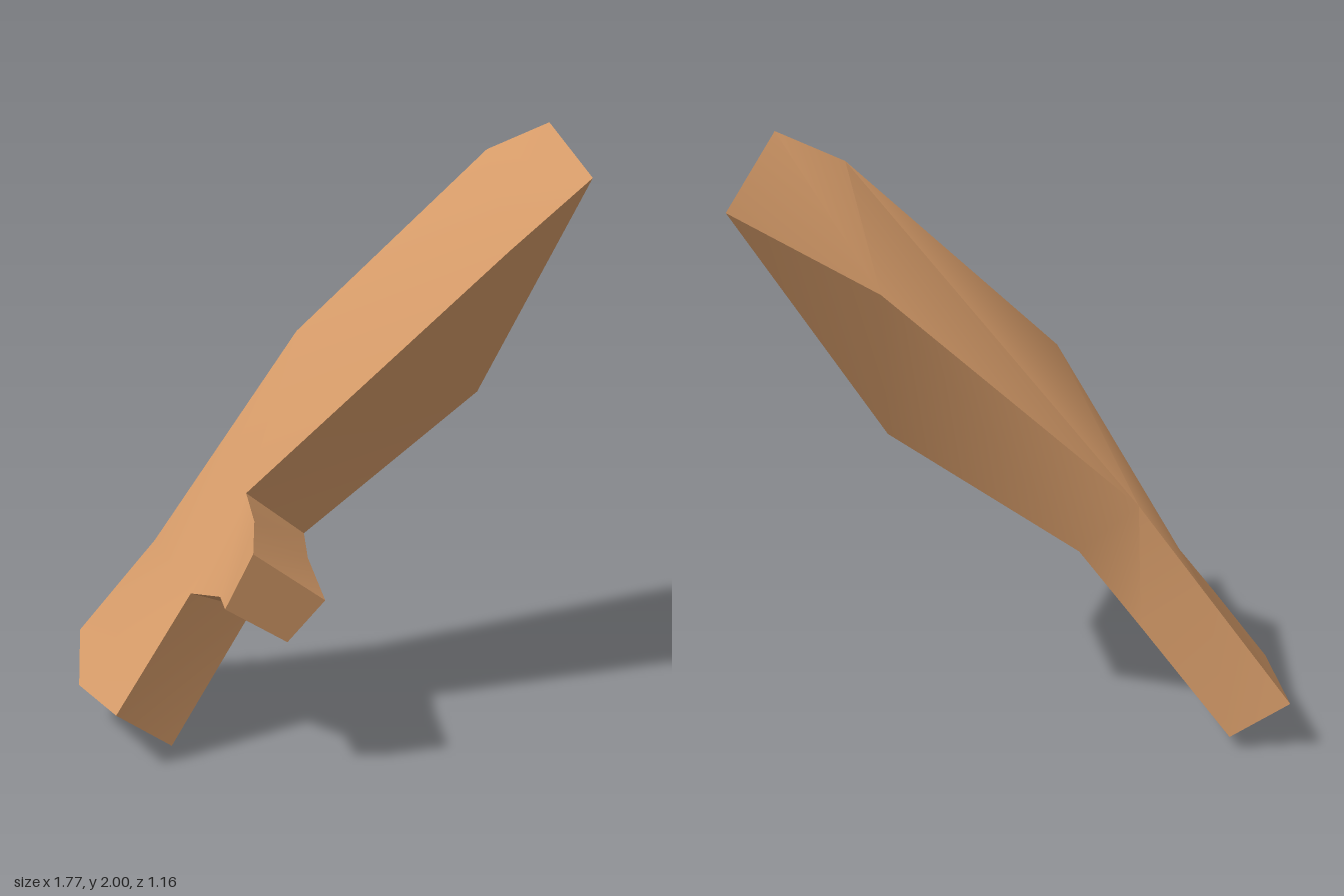
import * as THREE from 'three';
import { toCreasedNormals } from 'three/addons/utils/BufferGeometryUtils.js';

// Cross-sections from fingertips to cuff.
// Order: top centre, front side, front bottom, bottom centre, back bottom, back side.
const fingertips = [[-0.89, 0.14, -0.11], [-0.83, 0.19, 0.33], [-0.65, 0.05, 0.28],
  [-0.68, 0, -0.1], [-0.65, 0.05, -0.49], [-0.83, 0.19, -0.55]];
const palm = [[-0.57, 0.54, -0.1], [-0.57, 0.53, 0.23], [-0.34, 0.445, 0.14],
  [-0.35, 0.43, -0.1], [-0.36, 0.43, -0.4], [-0.57, 0.54, -0.42]];
const wrist = [[-0.13, 1.31, -0.1], [-0.38, 0.835, 0.2], [-0.16, 0.66, 0.09],
  [-0.16, 0.66, -0.1], [-0.17, 0.67, -0.31], [-0.35, 0.84, -0.37]];
const forearm = [[0.53, 1.91, -0.06], [0.46, 1.59, 0.31], [0.44, 1.11, 0.11],
  [0.44, 1.11, -0.11], [0.44, 1.11, -0.33], [0.46, 1.59, -0.51]];
const cuffRim = [[0.74, 2, -0.02], [0.72, 1.82, 0.36], forearm[2],
  forearm[3], forearm[4], [0.88, 1.85, -0.58]];

// Thumb sections grow out of the open panel between palm and wrist.
const thumbBase = [wrist[1], palm[1], palm[2], wrist[2]];
const thumbMiddle = [[-0.4, 0.79, 0.39], [-0.51, 0.56, 0.39], [-0.33, 0.46, 0.29], [-0.2, 0.63, 0.28]];
const thumbTip = [[-0.45, 0.74, 0.58], [-0.53, 0.57, 0.55], [-0.34, 0.45, 0.55], [-0.23, 0.58, 0.58]];

// Joins two sections with triangles, leaving out collapsed ones and skipped panels.
function bridge(a, b, skip = -1) {
  const out = [];
  a.forEach((p, i) => {
    if (i === skip) return;
    const j = (i + 1) % a.length;
    if (a[j] !== b[j]) out.push(p, a[j], b[j]);
    if (p !== b[i]) out.push(p, b[j], b[i]);
  });
  return out;
}

// Closes a section with a fan.
function cap(ring, flip) {
  const out = [];
  for (let i = 1; i < ring.length - 1; i++) {
    out.push(ring[0], ring[flip ? i + 1 : i], ring[flip ? i : i + 1]);
  }
  return out;
}

export function createModel() {
  const group = new THREE.Group();
  group.name = 'mittenHand';
  const skin = new THREE.MeshStandardMaterial({ color: 0xd49a68, side: THREE.DoubleSide });
  skin.name = 'skin';

  const parts = {
    hand: [...cap(fingertips, true), ...bridge(fingertips, palm), ...bridge(palm, wrist, 1)],
    thumb: [...bridge(thumbBase, thumbMiddle), ...bridge(thumbMiddle, thumbTip), ...cap(thumbTip, false)],
    forearm: bridge(wrist, forearm),
    cuff: bridge(forearm, cuffRim),
  };

  // Smooth the whole skin together so no seams show, then split it into parts.
  const whole = new THREE.BufferGeometry();
  whole.setAttribute('position', new THREE.Float32BufferAttribute(Object.values(parts).flat(2), 3));
  const smooth = toCreasedNormals(whole, 0.95);

  let start = 0;
  for (const [name, corners] of Object.entries(parts)) {
    const end = start + corners.length * 3;
    const geometry = new THREE.BufferGeometry();
    for (const key of ['position', 'normal']) {
      geometry.setAttribute(key, new THREE.BufferAttribute(smooth.getAttribute(key).array.slice(start, end), 3));
    }
    const mesh = new THREE.Mesh(geometry, skin);
    mesh.name = name;
    group.add(mesh);
    start = end;
  }
  return group;
}
